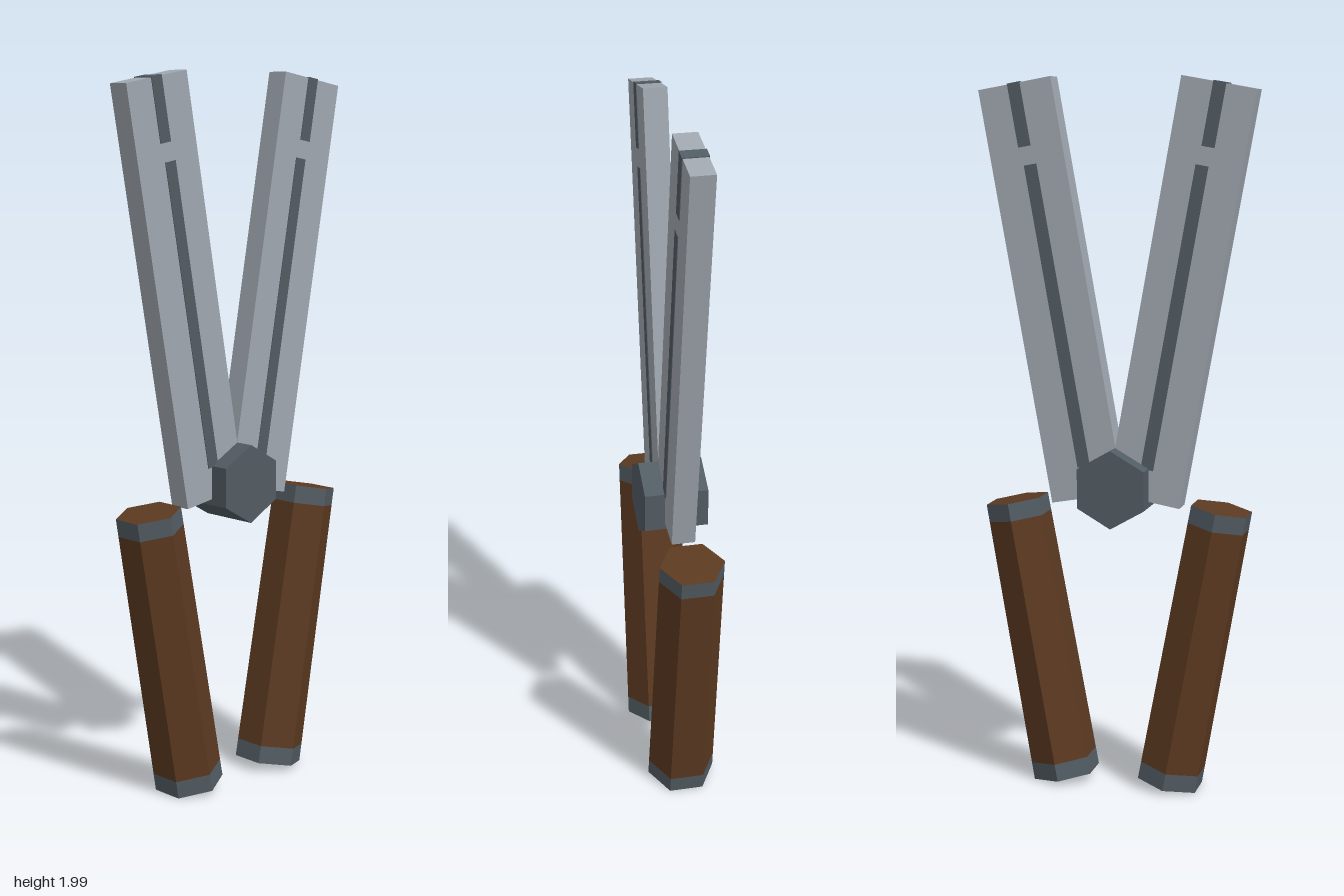
import * as THREE from 'three';

const material = (name, color) => {
  const m = new THREE.MeshStandardMaterial({ color, flatShading: true });
  m.name = name;
  return m;
};

export function createModel() {
  const steel = material('steel', 0xa0a7af);
  const darkIron = material('dark iron', 0x525c63);
  const wood = material('wood', 0x5c3a21);
  const model = new THREE.Group();
  model.name = 'shears';

  const add = (parent, name, geometry, mat, x = 0, y = 0, z = 0) => {
    const mesh = new THREE.Mesh(geometry, mat);
    mesh.name = name;
    mesh.position.set(x, y, z);
    parent.add(mesh);
    return mesh;
  };
  // A group leaning outwards on the given side
  const leaning = (name, side, x, y) => {
    const group = new THREE.Group();
    group.name = name;
    group.position.set(side * x, y, 0);
    group.rotation.z = THREE.MathUtils.degToRad(-10.2 * side);
    model.add(group);
    return group;
  };

  // Hexagonal pivot bolt
  const pivot = add(model, 'pivot', new THREE.CylinderGeometry(0.11, 0.11, 0.18, 6), darkIron, 0, 0.87, 0);
  pivot.rotation.x = Math.PI / 2;

  // Handle radius at a height along its length
  const length = 0.81;
  const radius = (y) => THREE.MathUtils.lerp(0.097, 0.0905, y / length + 0.5);
  const section = (y0, y1, open) =>
    new THREE.CylinderGeometry(radius(y1), radius(y0), y1 - y0, 6, 1, open).translate(0, (y0 + y1) / 2, 0);

  for (const side of [1, -1]) {
    const label = side > 0 ? 'left' : 'right';

    // Blade with a broken inlaid groove, visible on both faces and the tip
    const blade = leaning(label + 'Blade', side, 0.183, 1.407);
    add(blade, 'bladeBody', new THREE.BoxGeometry(0.21, 1.163, 0.066), steel);
    add(blade, 'grooveLong', new THREE.BoxGeometry(0.036, 0.85, 0.07), darkIron, -0.005 * side, -0.068, 0);
    add(blade, 'grooveTip', new THREE.BoxGeometry(0.036, 0.176, 0.07), darkIron, 0.002 * side, 0.496, 0);

    // Tapered wooden grip with an iron band at each end
    const handle = leaning(label + 'Handle', side, 0.225, 0.418);
    const end = length / 2;
    const band = 0.05;
    add(handle, 'grip', section(-end + band, end - band, true), wood);
    add(handle, 'upperBand', section(end - band, end, false), [darkIron, wood, wood]);
    add(handle, 'lowerBand', section(-end, -end + band, false), [darkIron, wood, wood]);
  }
  return model;
}
